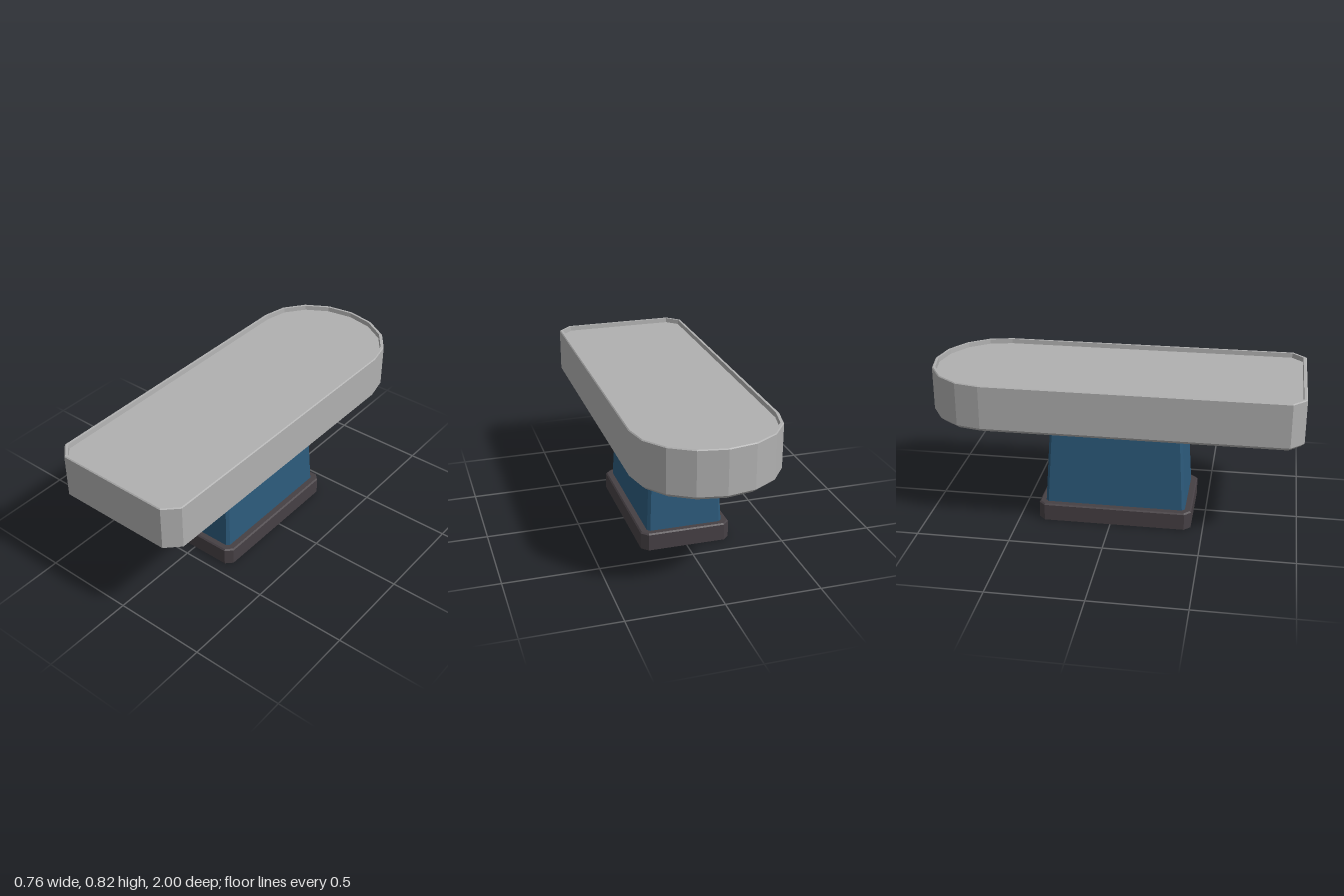
import * as THREE from 'three';

const grey = new THREE.MeshStandardMaterial({ color: 0xb0b0b0, name: 'slabGrey' });
const blue = new THREE.MeshStandardMaterial({ color: 0x2c5a7b, name: 'pillarBlue', side: THREE.DoubleSide });
const dark = new THREE.MeshStandardMaterial({ color: 0x464044, name: 'plinthDark', side: THREE.DoubleSide });

// Rectangle with cut corners, counter-clockwise seen from above, as [x, z]
function cutRect(hx, hz, cut, cz) {
  return [
    [-hx + cut, hz], [hx - cut, hz], [hx, hz - cut], [hx, -hz + cut],
    [hx - cut, -hz], [-hx + cut, -hz], [-hx, -hz + cut], [-hx, hz - cut],
  ].map(([x, z]) => [x, z + cz]);
}

// Slab outline: cut corners in front, faceted arc behind
function slabOutline(inset) {
  const hx = 0.38 - inset, front = 1 - inset, cut = 0.07 - 0.59 * inset;
  const pts = [[-hx + cut, front], [hx - cut, front], [hx, front - cut]];
  for (let i = 0; i <= 8; i++) {
    const a = (i / 8) * Math.PI;
    pts.push([hx * Math.cos(a), -0.66 - (0.34 - inset) * Math.sin(a)]);
  }
  pts.push([-hx, front - cut]);
  return pts;
}

// Flat-faced skin through stacked outlines, with optional end caps
function loft(name, material, layers, capBottom, capTop) {
  const pos = [];
  const tri = (...ps) => ps.forEach((p) => pos.push(...p));
  const rings = layers.map(([y, o]) => o.map(([x, z]) => [x, y, z]));
  const n = rings[0].length;
  for (let k = 0; k + 1 < rings.length; k++) {
    const lo = rings[k], hi = rings[k + 1];
    for (let i = 0; i < n; i++) {
      const j = (i + 1) % n;
      tri(lo[i], lo[j], hi[j]);
      tri(lo[i], hi[j], hi[i]);
    }
  }
  const b = rings[0], t = rings[rings.length - 1];
  for (let i = 1; i + 1 < n; i++) {
    if (capBottom) tri(b[0], b[i + 1], b[i]);
    if (capTop) tri(t[0], t[i], t[i + 1]);
  }
  const g = new THREE.BufferGeometry();
  g.setAttribute('position', new THREE.Float32BufferAttribute(pos, 3));
  g.computeVertexNormals();
  const mesh = new THREE.Mesh(g, material);
  mesh.name = name;
  return mesh;
}

export function createModel() {
  const group = new THREE.Group();
  group.name = 'pedestalTable';

  // Hollow plinth, open underneath
  group.add(loft('plinth', dark, [
    [0, cutRect(0.243, 0.415, 0.034, 0.02)],
    [0.089, cutRect(0.243, 0.415, 0.034, 0.02)],
    [0.096, cutRect(0.236, 0.408, 0.031, 0.02)],
  ], false, true));

  // Tapered pillar, sunk into the plinth
  group.add(loft('pillar', blue, [
    [0.045, cutRect(0.208, 0.383, 0.015, 0.02)],
    [0.565, cutRect(0.181, 0.352, 0.013, 0.02)],
  ], false, false));

  // Slab with chamfered underside, thin raised rim and recessed top
  group.add(loft('slab', grey, [
    [0.562, slabOutline(0.022)],
    [0.582, slabOutline(0)],
    [0.814, slabOutline(0)],
    [0.819, slabOutline(0.005)],
    [0.819, slabOutline(0.018)],
    [0.794, slabOutline(0.02)],
  ], true, true));

  return group;
}
